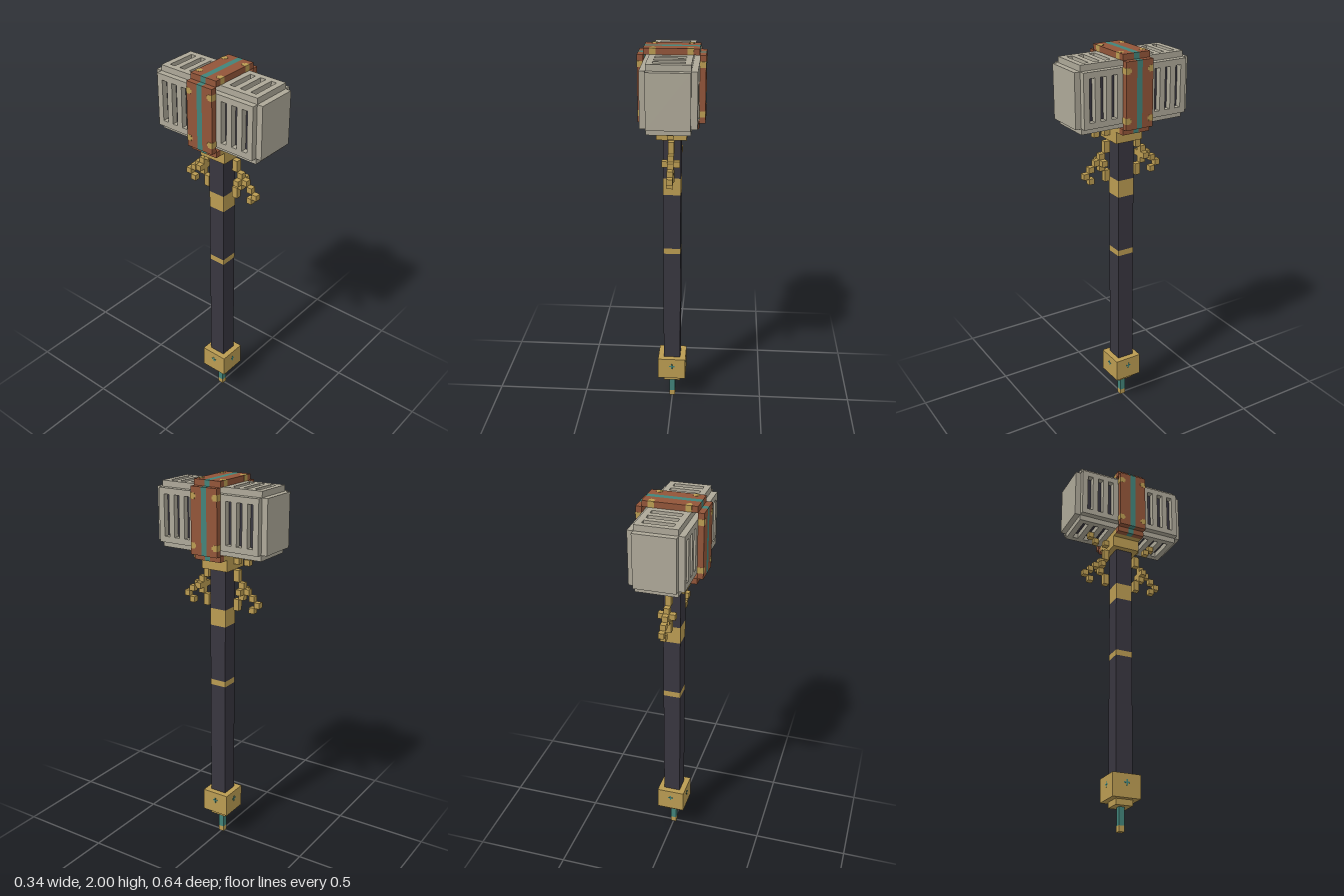
import * as THREE from 'three';

const U = 2 / 66; // one block
const mat = (name, color) => {
  const m = new THREE.MeshStandardMaterial({ color });
  m.name = name;
  return m;
};

export function createModel() {
  const stone = mat('stone', 0xaea999);
  const dark = mat('dark', 0x38363f);
  const gold = mat('gold', 0xbb9c52);
  const copper = mat('copper', 0x925539);
  const teal = mat('teal', 0x42837a);

  const model = new THREE.Group();
  model.name = 'warHammer';

  const group = (name) => {
    const g = new THREE.Group();
    g.name = name;
    model.add(g);
    return g;
  };
  // Box given by its size and centre, in blocks
  const box = (parent, name, material, w, h, d, x, y, z) => {
    const m = new THREE.Mesh(new THREE.BoxGeometry(w * U, h * U, d * U), material);
    m.name = name;
    m.position.set(x * U, y * U, z * U);
    parent.add(m);
    return m;
  };

  // Handle, stacked from the bottom: name, material, width, bottom, top
  const handle = group('handle');
  [
    ['tip', gold, 1, 0, 1],
    ['spike', teal, 1, 1, 4],
    ['pommelBase', gold, 3, 4, 5],
    ['pommel', gold, 5, 5, 9],
    ['lowerShaft', dark, 3, 9, 30],
    ['gripRing', gold, 3, 30, 31],
    ['middleShaft', dark, 3, 31, 41],
    ['upperRing', gold, 3, 41, 44],
    ['upperShaft', dark, 3, 44, 51],
    ['collar', gold, 5, 51, 53],
  ].forEach(([name, m, w, a, b]) => box(handle, name, m, w, b - a, w, 0, (a + b) / 2, 0));

  // Small inlaid cross on each pommel side
  for (let i = 0; i < 4; i++) {
    const cross = new THREE.Group();
    cross.name = 'pommelCross';
    box(cross, 'crossBar', teal, 1, 0.25, 0.08, 0, 7.5, 2.5);
    box(cross, 'crossPost', teal, 0.25, 1, 0.08, 0, 7.5, 2.5);
    cross.rotation.y = i * Math.PI / 2;
    handle.add(cross);
  }

  // Head core, seen through the slots, and end faces
  const head = group('head');
  const MID = 59.5;
  box(head, 'slotCore', dark, 7, 9, 19, 0, MID, 0);
  for (const s of [-1, 1]) box(head, 'strikingFace', stone, 7, 9, 1, 0, MID, s * 10);

  // Slotted slab, lying along z with its outside facing +x
  const slab = (width) => {
    const rect = (P, x, w, h) => {
      const p = new P();
      p.moveTo((x - w / 2) * U, -h / 2 * U);
      p.lineTo((x + w / 2) * U, -h / 2 * U);
      p.lineTo((x + w / 2) * U, h / 2 * U);
      p.lineTo((x - w / 2) * U, h / 2 * U);
      p.closePath();
      return p;
    };
    const shape = rect(THREE.Shape, 0, 19, width);
    for (const z of [-8, -6, -4, 4, 6, 8]) shape.holes.push(rect(THREE.Path, z, 1, width - 2));
    return new THREE.ExtrudeGeometry(shape, { depth: U, bevelEnabled: false }).rotateY(Math.PI / 2);
  };
  for (let i = 0; i < 4; i++) {
    const upright = i % 2 === 0;
    const geo = slab(upright ? 9 : 7);
    geo.translate((upright ? 3.5 : 4.5) * U, 0, 0).rotateZ(i * Math.PI / 2);
    const m = new THREE.Mesh(geo, stone);
    m.name = upright ? 'sideSlab' : 'coverSlab';
    m.position.y = MID * U;
    head.add(m);
  }

  // Band round the head: copper, teal stripe, copper
  const band = group('headBand');
  for (const [name, m, d, z] of [
    ['bandEdge', copper, 2, -1.5], ['bandStripe', teal, 1, 0], ['bandEdge', copper, 2, 1.5],
  ]) {
    box(band, name, m, 9, 1, d, 0, 65.5, z);
    for (const s of [-1, 1]) {
      box(band, name, m, 1, 11, d, s * 5, MID, z);
      box(band, name, m, 1, 1, d, s * 4, 53.5, z);
    }
  }
  box(band, 'bandFoot', gold, 7, 1, 5, 0, 53.5, 0);

  // Gold rivets on the band edges, each with a narrow tip
  for (const sx of [-1, 1]) for (const sz of [-1, 1]) {
    box(band, 'topRivet', gold, 1, 1.06, 0.78, sx * 3, 65.5, sz * 2.14);
    box(band, 'topRivetTip', gold, 0.5, 1.06, 0.3, sx * 3, 65.5, sz * 1.65);
    for (const y of [55.5, 63.5]) {
      box(band, 'sideRivet', gold, 1.06, 1, 0.78, sx * 5, y, sz * 2.14);
      box(band, 'sideRivetTip', gold, 1.06, 0.5, 0.3, sx * 5, y, sz * 1.65);
    }
  }

  // Curled branches in front and behind: z, bottom, height, width
  const branches = group('branches');
  for (const s of [-1, 1]) {
    [
      [6, 53, 1, 1], [5, 52, 1, 1], [3, 52, 1, 1],
      [3, 49, 2, 1], [4, 48, 1, 1], [4, 47, 1, 3], [5, 47, 1, 1],
      [6, 46, 1, 1], [7, 45, 1, 1], [6, 44, 1, 1],
      [4, 46, 1, 1], [3, 44, 2, 1],
    ].forEach(([z, y, h, w]) => box(branches, 'branch', gold, w, h, 1, 0, y + h / 2, s * z));
  }

  return model;
}
